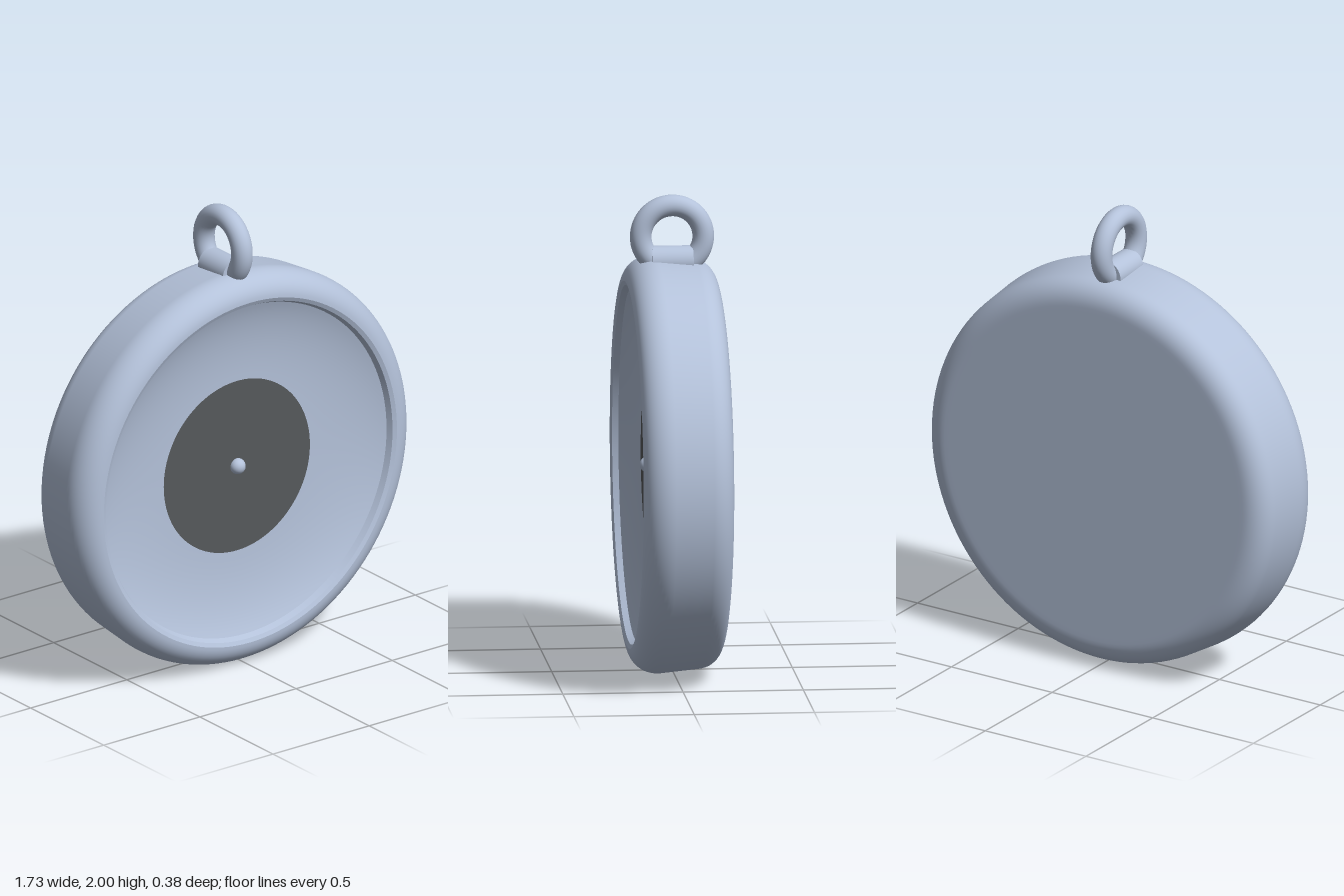
import * as THREE from 'three';

const SEG = 128;

// Spins a radius/depth profile about the z axis
function spin(points) {
  const g = new THREE.LatheGeometry(points, SEG);
  g.rotateX(Math.PI / 2);
  return g;
}

export function createModel() {
  const metal = new THREE.MeshStandardMaterial({ color: 0xb4c2da });
  metal.name = 'blueGreyMetal';
  const dark = new THREE.MeshStandardMaterial({ color: 0x56595b });
  dark.name = 'darkGrey';

  const model = new THREE.Group();
  model.name = 'pendant';
  const add = (parent, name, geometry, material, x = 0, y = 0, z = 0) => {
    const mesh = new THREE.Mesh(geometry, material);
    mesh.name = name;
    mesh.position.set(x, y, z);
    parent.add(mesh);
    return mesh;
  };
  const v = (r, z) => new THREE.Vector2(r, z);

  const body = new THREE.Group();
  body.name = 'body';
  body.position.y = 0.865;
  model.add(body);

  // Flat back, rounded corners and slightly tapered side wall
  const shell = [v(0, -0.19), v(0.3, -0.19), v(0.72, -0.19)];
  const backCorner = new THREE.CubicBezierCurve(v(0.74, -0.19), v(0.8, -0.19), v(0.842, -0.155), v(0.849, -0.1));
  const frontCorner = new THREE.CubicBezierCurve(v(0.865, 0.06), v(0.873, 0.13), v(0.825, 0.188), v(0.762, 0.188));
  shell.push(...backCorner.getPoints(12), ...frontCorner.getPoints(14));
  add(body, 'shell', spin(shell), metal);

  // Bevelled lip and the step down into the dish
  add(body, 'lip', spin([v(0.762, 0.188), v(0.745, 0.18)]), metal);
  add(body, 'lipStep', spin([v(0.745, 0.18), v(0.733, 0.155)]), metal);

  // Concave dish with a flat dark centre and a small pin
  const bowl = new THREE.QuadraticBezierCurve(v(0.733, 0.155), v(0.6, 0.1), v(0.38, 0.095));
  add(body, 'dish', spin(bowl.getPoints(16)), metal);
  add(body, 'centreDisc', new THREE.CircleGeometry(0.38, SEG), dark, 0, 0, 0.095);
  add(body, 'centrePin', new THREE.SphereGeometry(0.034, 24, 16), metal, 0, 0, 0.1);

  // Cross lug and hanging ring on top
  const lug = new THREE.CylinderGeometry(0.065, 0.065, 0.17, 40);
  lug.rotateX(Math.PI / 2);
  add(model, 'lug', lug, metal, 0, 1.72, 0);
  const ring = new THREE.TorusGeometry(0.13, 0.045, 24, 64);
  ring.rotateY(Math.PI / 2);
  add(model, 'hangingRing', ring, metal, 0, 1.825, 0);

  return model;
}
